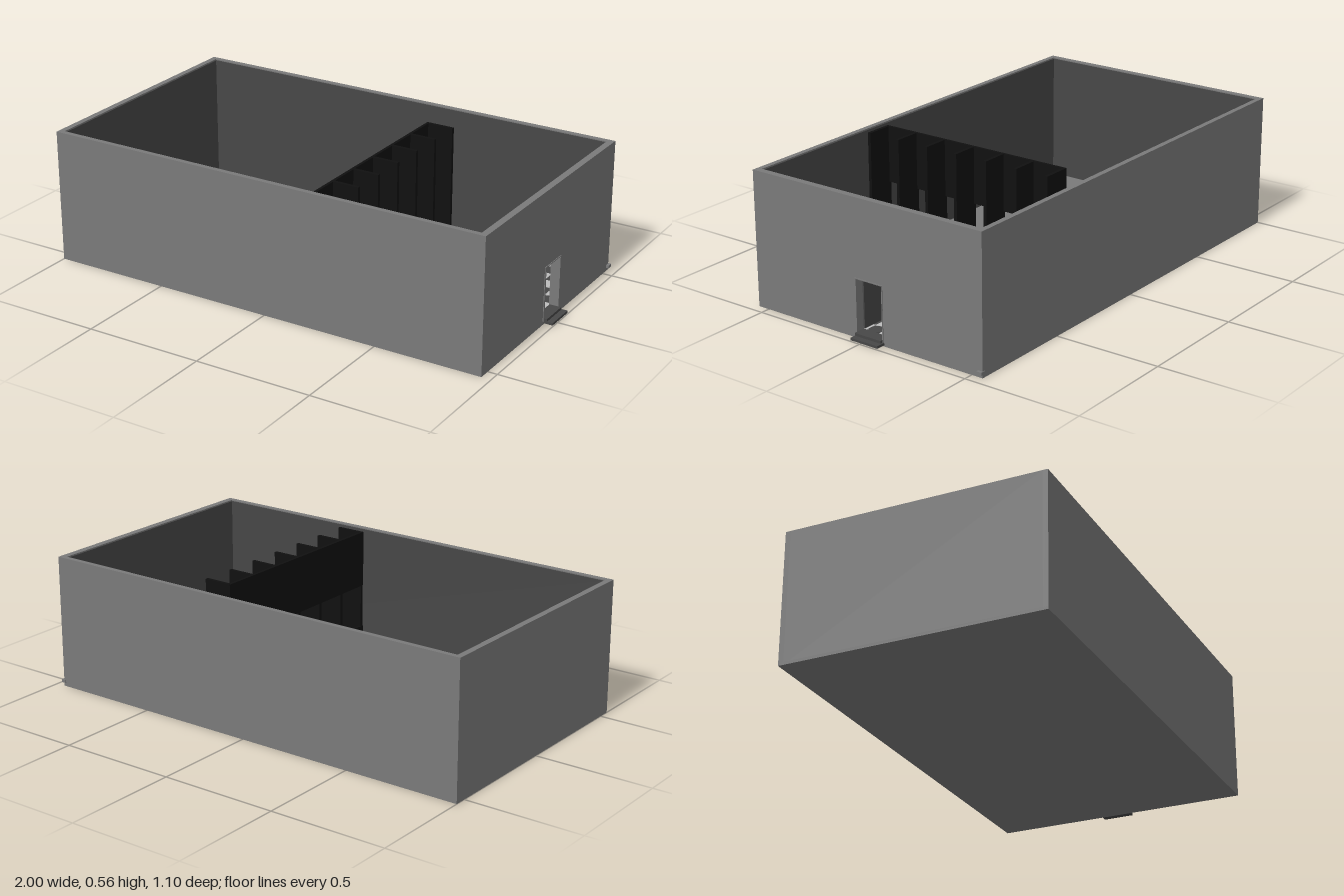
import * as THREE from 'three';

const mat = (name, color) => {
  const m = new THREE.MeshStandardMaterial({ color });
  m.name = name;
  return m;
};

export function createModel() {
  const group = new THREE.Group();
  group.name = 'lanedHall';
  const wall = mat('wall grey', 0x7a7a7a);
  const lining = mat('dark grey', 0x474747);
  const black = mat('booth black', 0x101010);
  const blue = mat('blue floor', 0x2a4c6b);
  const light = mat('light tile', 0xbcbcbc);

  // Box given by its minimum and maximum corners
  const box = (name, m, x0, x1, y0, y1, z0, z1, parent = group) => {
    const mesh = new THREE.Mesh(new THREE.BoxGeometry(x1 - x0, y1 - y0, z1 - z0), m);
    mesh.position.set((x0 + x1) / 2, (y0 + y1) / 2, (z0 + z1) / 2);
    mesh.name = name;
    parent.add(mesh);
    return mesh;
  };

  const H = 0.565, X0 = -1, X1 = 0.96, Z = 0.55;
  const inX0 = -0.975, inX1 = 0.932, inZ = 0.528;
  const doorZ0 = -0.085, doorZ1 = 0.05, doorY0 = 0.015, doorY1 = 0.245;

  // Floor slabs
  box('laneFloor', wall, X0, X1, 0, 0.012, -Z, Z);
  box('lobbyFloor', wall, 0.32, inX1, 0.012, 0.022, -inZ, inZ);
  box('boothFloor', blue, 0.2, 0.32, 0.012, 0.025, -inZ, inZ);

  // Outer walls; the end wall is pierced by the doorway
  box('frontWall', wall, X0, X1, 0, H, inZ, Z);
  box('backWall', wall, X0, X1, 0, H, -Z, -inZ);
  box('farEndWall', wall, X0, inX0, 0, H, -inZ, inZ);

  const endPieces = [
    [0, H, -inZ, doorZ0],
    [0, H, doorZ1, inZ],
    [doorY1, H, doorZ0, doorZ1],
    [0, doorY0, doorZ0, doorZ1],
  ];
  endPieces.forEach(([y0, y1, z0, z1]) => box('doorEndWall', wall, inX1, X1, y0, y1, z0, z1));

  // Dark inner lining
  const t = 0.005, top = H - 0.004;
  box('frontLining', lining, inX0, inX1, 0.012, top, inZ - t, inZ);
  box('backLining', lining, inX0, inX1, 0.012, top, -inZ, -inZ + t);
  box('farEndLining', lining, inX0, inX0 + t, 0.012, top, -inZ, inZ);
  endPieces.slice(0, 3).forEach(([y0, y1, z0, z1]) =>
    box('doorEndLining', lining, inX1 - t, inX1, Math.max(y0, 0.012), Math.min(y1, top), z0, z1));

  // Chequered lobby floor: square light tiles, dark tiles alternating square and octagonal
  const tiles = new THREE.Group();
  tiles.name = 'chequeredFloor';
  group.add(tiles);
  const s = 0.061, sz = (2 * inZ - 0.01) / 17;
  const square = new THREE.BoxGeometry(s, 0.004, sz);
  const octagon = new THREE.CylinderGeometry(s * 0.54, s * 0.54, 0.004, 8).rotateY(Math.PI / 8);
  for (let i = 0; i < 10; i++) {
    for (let j = 0; j < 17; j++) {
      const dark = (i + j) % 2 === 1;
      const tile = new THREE.Mesh(dark && j % 2 === 0 ? octagon : square, dark ? lining : light);
      tile.name = dark ? 'darkTile' : 'lightTile';
      tile.position.set(0.32 + s * (i + 0.5), 0.023, -inZ + 0.005 + sz * (j + 0.5));
      tiles.add(tile);
    }
  }

  // Row of lane booths: dividers, low counter wall and header, open between
  const booths = new THREE.Group();
  booths.name = 'laneBooths';
  group.add(booths);
  const zStart = -0.367, pitch = 0.1472;
  for (let i = 0; i < 7; i++) {
    const z = zStart + pitch * i;
    box('boothDivider', black, 0.2, 0.322, 0.012, 0.55, z - 0.007, z + 0.007, booths);
  }
  box('counterWall', black, 0.198, 0.21, 0.012, 0.125, zStart - 0.007, inZ - t, booths);
  box('boothHeader', black, 0.198, 0.21, 0.31, 0.55, zStart - 0.007, inZ - t, booths);

  // Door frame
  const frame = new THREE.Group();
  frame.name = 'doorFrame';
  group.add(frame);
  box('frameSide', wall, 0.922, 0.963, doorY0, doorY1, doorZ1 - 0.008, doorZ1, frame);
  box('frameSide', wall, 0.922, 0.963, doorY0, doorY1, doorZ0, doorZ0 + 0.004, frame);
  box('frameTop', wall, 0.922, 0.963, doorY1 - 0.004, doorY1, doorZ0, doorZ1, frame);

  // Door leaf swung inward, with a knob
  box('doorLeaf', lining, 0.8, 0.925, 0.028, 0.24, 0.036, 0.044);
  const knob = new THREE.Mesh(new THREE.SphereGeometry(0.005, 12, 8), wall);
  knob.name = 'doorKnob';
  knob.position.set(0.812, 0.145, 0.032);
  group.add(knob);

  // Entrance steps and a small corner block
  box('lowerStep', lining, 0.955, 1, 0.005, 0.015, -0.088, 0.043);
  box('upperStep', lining, 0.925, 0.975, 0.015, 0.026, -0.082, 0.043);
  box('cornerBlock', wall, 0.95, 0.972, 0.014, 0.027, -0.553, -0.53);

  return group;
}
